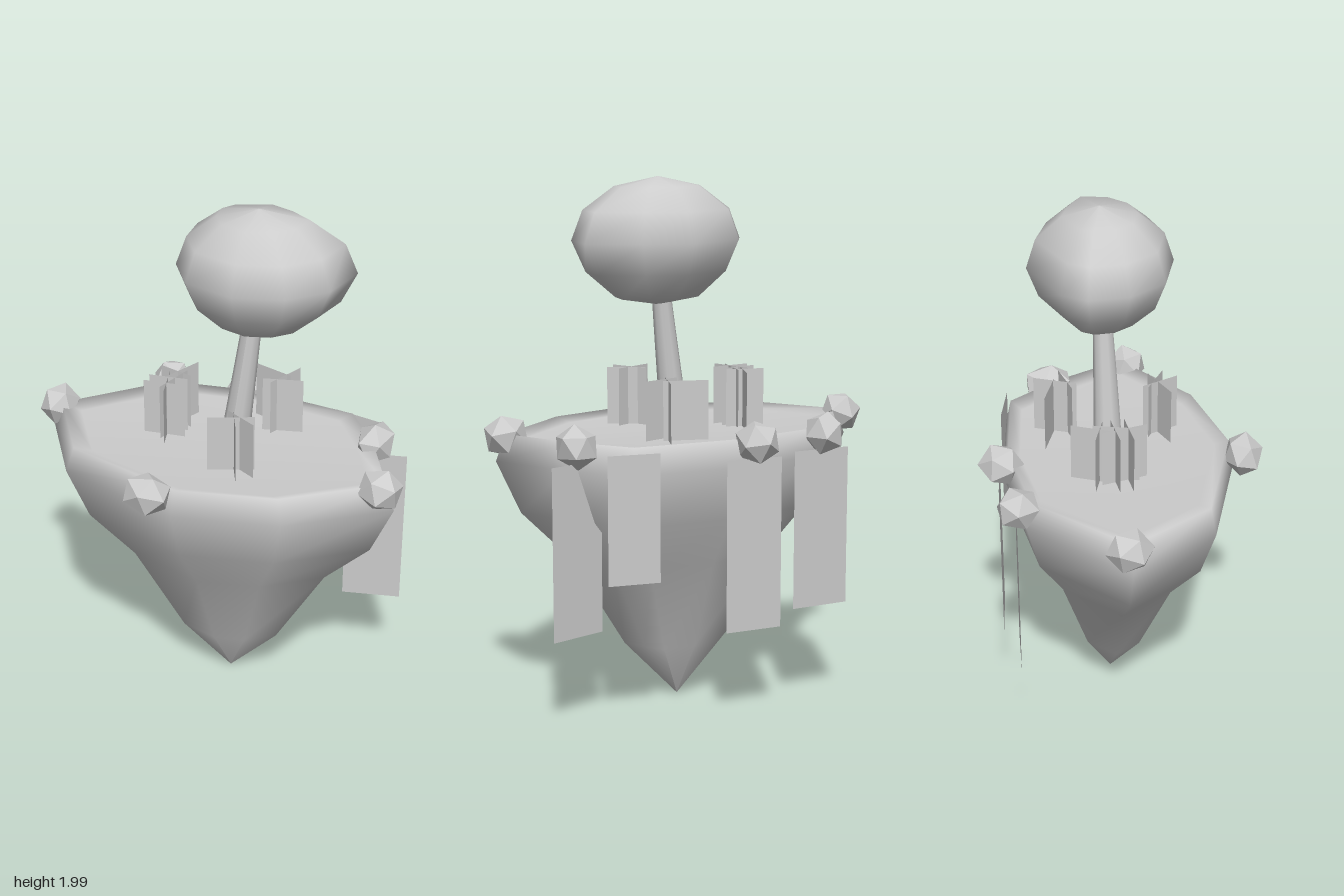
import * as THREE from 'three';

const stoneGrey = new THREE.MeshStandardMaterial({ color: 0xcccccc, side: THREE.DoubleSide });
stoneGrey.name = 'stoneGrey';

function add(parent, geometry, name) {
  const mesh = new THREE.Mesh(geometry, stoneGrey);
  mesh.name = name;
  parent.add(mesh);
  return mesh;
}

// Smooth solid from one outline scaled about a centre; levels run bottom to top as [y, scale]
function loft(outline, [cx, cz], levels) {
  const n = outline.length, pos = [], index = [];
  for (const [y, s] of levels)
    for (const [x, z] of outline) pos.push(cx + (x - cx) * s, y, cz + (z - cz) * s);
  for (let r = 0; r < levels.length - 1; r++)
    for (let j = 0; j < n; j++) {
      const k = (j + 1) % n;
      const a = r * n + j, c = r * n + k, b = a + n, d = c + n;
      if (levels[r][1] > 0) index.push(a, b, c);
      if (levels[r + 1][1] > 0) index.push(b, d, c);
      else if (levels[r][1] === 0) index.push(b, d, c);
    }
  const g = new THREE.BufferGeometry();
  g.setAttribute('position', new THREE.Float32BufferAttribute(pos, 3));
  g.setIndex(index);
  g.computeVertexNormals();
  return g;
}

// Upright flat sheet between two ground points
function sheet(parent, [x1, z1], [x2, z2], y0, y1, name) {
  const g = new THREE.PlaneGeometry(Math.hypot(x2 - x1, z2 - z1), y1 - y0);
  const m = add(parent, g, name);
  m.position.set((x1 + x2) / 2, (y0 + y1) / 2, (z1 + z2) / 2);
  m.rotation.y = -Math.atan2(z2 - z1, x2 - x1);
}

export function createModel() {
  const model = new THREE.Group();
  model.name = 'floatingIsland';

  // Island body: flat top tapering to a point
  const shore = [[0.73, 0.08], [0.39, 0.345], [0, 0.44], [-0.5, 0.295], [-0.72, -0.03],
    [-0.39, -0.38], [0, -0.445], [0.42, -0.41], [0.58, -0.2]];
  add(model, loft(shore, [0.04, -0.035], [[0.01, 0], [0.23, 0.3], [0.58, 0.6], [0.77, 0.87],
    [0.97, 1], [1.07, 0.95], [1.05, 0.84], [1.05, 0]]), 'island');

  // Leaning, tapering trunk
  const path = new THREE.QuadraticBezierCurve3(new THREE.Vector3(0.045, 1.02, -0.04),
    new THREE.Vector3(0.085, 1.33, -0.045), new THREE.Vector3(0.12, 1.62, -0.055));
  const steps = 6, sides = 10;
  const trunk = new THREE.TubeGeometry(path, steps, 1, sides);
  const p = trunk.attributes.position;
  for (let i = 0; i < p.count; i++) {
    const t = Math.floor(i / (sides + 1)) / steps;
    const c = path.getPointAt(t);
    const v = new THREE.Vector3().fromBufferAttribute(p, i).sub(c).multiplyScalar(0.056 - 0.022 * t).add(c);
    p.setXYZ(i, v.x, v.y, v.z);
  }
  trunk.computeVertexNormals();
  add(model, trunk, 'trunk');

  // Lumpy tree crown
  const crown = [[0.475, -0.16], [0.44, 0.03], [0.32, 0.16], [0.14, 0.215], [-0.06, 0.16],
    [-0.16, 0.02], [-0.175, -0.13], [-0.12, -0.22], [0.125, -0.33], [0.3, -0.27]];
  add(model, loft(crown, [0.13, -0.06], [[1.53, 0], [1.56, 0.5], [1.655, 0.84], [1.77, 1],
    [1.88, 0.87], [1.965, 0.51], [2.0, 0]]), 'crown');

  // Faceted boulders around the rim: x, z, then half sizes
  const boulders = [[-0.695, -0.04, 0.078, 0.088], [-0.38, -0.41, 0.077, 0.085],
    [-0.065, -0.455, 0.085, 0.088], [0.55, -0.23, 0.077, 0.105],
    [0.68, 0.1, 0.088, 0.083], [-0.085, 0.46, 0.097, 0.077]];
  boulders.forEach(([x, z, rx, rz], i) => {
    const g = new THREE.IcosahedronGeometry(1, 0);
    g.rotateX(i * 1.3 + 0.4).rotateY(i * 2.1);
    g.scale(rx, 0.083, rz);
    g.computeVertexNormals();
    add(model, g, 'boulder').position.set(x, 1.058, z);
  });

  // Hanging sheets below the rim
  sheet(model, [0.445, -0.215], [0.665, -0.27], 0.36, 1.0, 'hangingSheet');
  sheet(model, [0.32, -0.435], [0.51, -0.4], 0.58, 1.05, 'hangingSheet');
  sheet(model, [-0.16, -0.47], [0.06, -0.455], 0.36, 1.0, 'hangingSheet');
  sheet(model, [-0.48, -0.42], [-0.25, -0.415], 0.4, 1.0, 'hangingSheet');

  // Grass tufts of crossed blades
  const tufts = [
    [[-0.29, -0.12, -0.15, -0.08], [-0.3, -0.03, -0.15, -0.05], [-0.3, 0.02, -0.14, 0],
      [-0.17, -0.2, -0.23, -0.05], [-0.24, -0.09, -0.19, 0.08], [-0.22, 0.05, -0.18, -0.12]],
    [[0.04, -0.28, 0.2, -0.23], [0.21, -0.31, 0.15, -0.15], [0.11, -0.17, 0.26, -0.21]],
    [[0.04, 0.2, 0.2, 0.13], [0.17, 0.24, 0.1, 0.1], [0.09, 0.12, 0.22, 0.19]],
  ];
  for (const blades of tufts) {
    const tuft = new THREE.Group();
    tuft.name = 'grassTuft';
    for (const [x1, z1, x2, z2] of blades) sheet(tuft, [x1, z1], [x2, z2], 1.01, 1.27, 'grassBlade');
    model.add(tuft);
  }
  return model;
}
